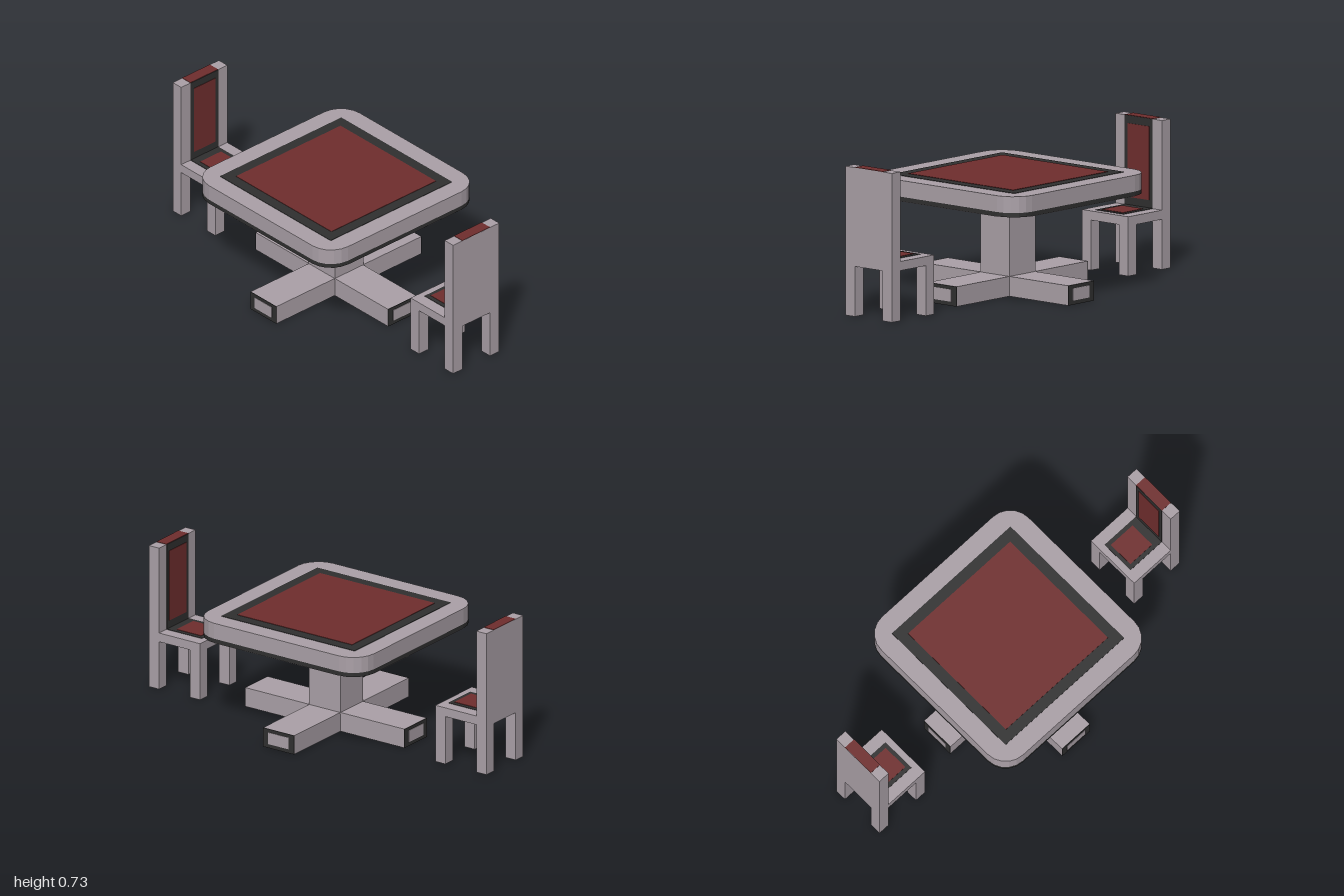
import * as THREE from 'three';

const paint = (color) => new THREE.MeshStandardMaterial({ color, flatShading: true });
const wood = paint(0xaba1a8);
const dark = paint(0x303030);
const red = paint(0x702e2e);

// Box given by its minimum and maximum corners
function box(parent, name, material, min, max) {
  const size = max.map((v, i) => v - min[i]);
  const mesh = new THREE.Mesh(new THREE.BoxGeometry(...size), material);
  mesh.position.set(...max.map((v, i) => (v + min[i]) / 2));
  mesh.name = name;
  parent.add(mesh);
  return mesh;
}

// Square outline with round corners (one segment per corner gives a chamfer)
function slab(parent, name, material, half, radius, y0, y1, segments) {
  const shape = new THREE.Shape();
  const c = half - radius;
  for (let k = 0; k < 4; k++) {
    const start = k * Math.PI / 2;
    const cx = (k === 0 || k === 3) ? c : -c;
    const cy = k < 2 ? c : -c;
    for (let i = 0; i <= segments; i++) {
      const a = start + (i / segments) * Math.PI / 2;
      const x = cx + radius * Math.cos(a), y = cy + radius * Math.sin(a);
      if (k === 0 && i === 0) shape.moveTo(x, y);
      else shape.lineTo(x, y);
    }
  }
  shape.closePath();
  const geometry = new THREE.ExtrudeGeometry(shape, { depth: y1 - y0, bevelEnabled: false });
  geometry.rotateX(-Math.PI / 2).translate(0, y0, 0);
  const mesh = new THREE.Mesh(geometry, material);
  mesh.name = name;
  parent.add(mesh);
}

function createTable() {
  const table = new THREE.Group();
  table.name = 'table';

  // Table top: wooden slab, dark lower band, flat underside, inlaid surface
  slab(table, 'tableTop', wood, 0.49, 0.12, 0.498, 0.578, 5);
  slab(table, 'tableTopBand', dark, 0.49, 0.12, 0.477, 0.498, 5);
  slab(table, 'tableUnderside', wood, 0.489, 0.12, 0.475, 0.477, 1);
  box(table, 'topBorder', dark, [-0.395, 0.575, -0.395], [0.395, 0.58, 0.395]);
  box(table, 'topInlay', red, [-0.34, 0.578, -0.34], [0.34, 0.582, 0.34]);

  // Pedestal
  box(table, 'column', wood, [-0.093, 0.09, -0.093], [0.093, 0.476, 0.093]);

  // Four feet in a cross, each with a framed end
  for (let k = 0; k < 4; k++) {
    const foot = new THREE.Group();
    foot.name = 'foot';
    foot.rotation.y = k * Math.PI / 2;
    box(foot, 'footBeam', wood, [-0.092, 0, 0.092], [0.092, 0.097, 0.47]);
    box(foot, 'footEndFrame', dark, [-0.092, 0, 0.47], [0.092, 0.097, 0.473]);
    box(foot, 'footEndPanel', wood, [-0.06, 0.02, 0.471], [0.06, 0.08, 0.475]);
    table.add(foot);
  }
  box(table, 'footCentre', wood, [-0.092, 0, -0.092], [0.092, 0.097, 0.092]);
  return table;
}

// Chair at the +x side, facing the table
function createChair() {
  const chair = new THREE.Group();
  chair.name = 'chair';

  // Legs
  for (const x of [0.697, 0.94]) {
    for (const z of [-0.15, 0.09]) {
      box(chair, 'leg', wood, [x, 0, z], [x + 0.06, 0.245, z + 0.06]);
    }
  }

  // Seat with framed cushion
  box(chair, 'seat', wood, [0.697, 0.245, -0.15], [0.94, 0.29, 0.15]);
  box(chair, 'seatBorder', dark, [0.73, 0.288, -0.09], [0.94, 0.292, 0.09]);
  box(chair, 'seatCushion', red, [0.75, 0.29, -0.068], [0.895, 0.294, 0.068]);

  // Backrest with red top cap and framed inner panel
  box(chair, 'backrest', wood, [0.94, 0.245, -0.15], [1, 0.728, 0.15]);
  box(chair, 'backCap', red, [0.94, 0.726, -0.09], [0.9995, 0.73, 0.09]);
  box(chair, 'backBorder', dark, [0.938, 0.29, -0.09], [0.942, 0.728, 0.09]);
  box(chair, 'backCushion', red, [0.936, 0.33, -0.07], [0.94, 0.69, 0.07]);
  return chair;
}

export function createModel() {
  const model = new THREE.Group();
  model.name = 'diningSet';
  model.add(createTable());
  for (const angle of [0, Math.PI]) {
    const chair = createChair();
    chair.rotation.y = angle;
    model.add(chair);
  }
  return model;
}
